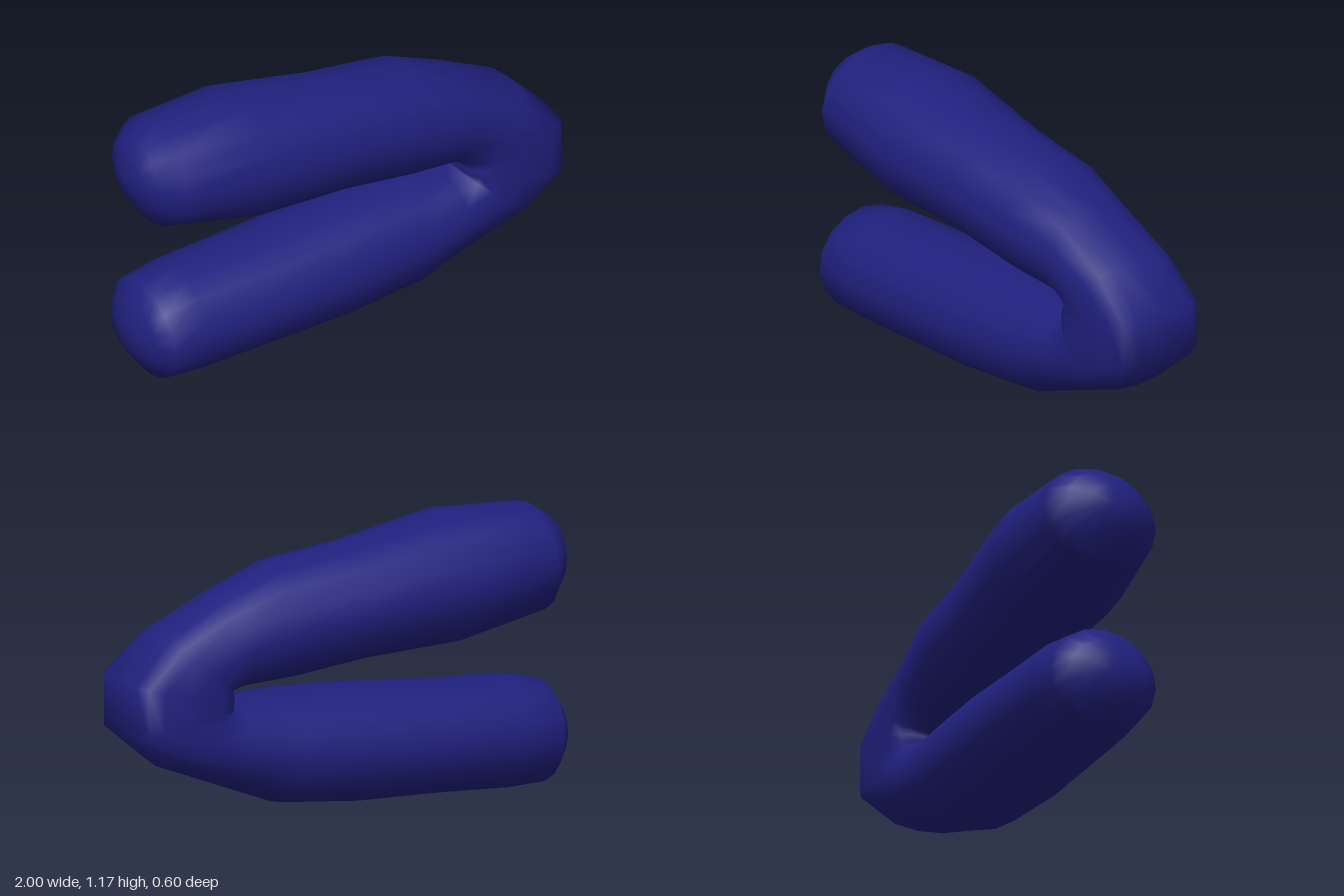
import * as THREE from 'three';
import { mergeVertices } from 'three/addons/utils/BufferGeometryUtils.js';

const SIDES = 16;

// Each cross-section: outer x, outer y, inner x, inner y, half width, roundness (1 = ellipse, less = squarer)
const upperArm = [
  [-1, 0.95, -1, 0.95, 0, 1],
  [-0.98, 1.04, -0.982, 0.88, 0.09, 1],
  [-0.94, 1.11, -0.945, 0.80, 0.175, 1],
  [-0.85, 1.165, -0.885, 0.72, 0.25, 1],
  [-0.47, 1.18, -0.49, 0.64, 0.30, 1],
  [-0.03, 1.10, -0.07, 0.62, 0.265, 1],
  [0.31, 1.06, 0.25, 0.585, 0.265, 1],
  [0.55, 0.965, 0.48, 0.575, 0.23, 0.95],
];
const bend = [
  [0.83, 0.825, 0.535, 0.565, 0.23, 0.8],
  [1, 0.655, 0.535, 0.553, 0.23, 0.55],
  [1, 0.435, 0.535, 0.535, 0.23, 0.55],
  [0.83, 0.28, 0.54, 0.523, 0.23, 0.8],
];
const lowerArm = [
  [0.55, 0.167, 0.48, 0.527, 0.23, 0.95],
  [0.31, 0.07, 0.25, 0.535, 0.25, 1],
  [-0.03, 0.035, -0.1, 0.515, 0.268, 1],
  [-0.38, 0.025, -0.45, 0.48, 0.265, 1],
  [-0.72, 0.005, -0.76, 0.465, 0.25, 1],
  [-0.885, 0.01, -0.915, 0.43, 0.235, 1],
  [-0.945, 0.085, -0.96, 0.36, 0.165, 1],
  [-0.98, 0.15, -0.985, 0.3, 0.085, 1],
  [-0.995, 0.225, -0.995, 0.225, 0, 1],
];

// Skin a closed tube over the cross-sections
function loft(rings) {
  const positions = [];
  const index = [];
  const power = (v, p) => Math.sign(v) * Math.abs(v) ** p;
  rings.forEach(([ox, oy, ix, iy, width, p], i) => {
    for (let j = 0; j < SIDES; j++) {
      const angle = (j / SIDES) * Math.PI * 2;
      const t = (1 + power(Math.cos(angle), p)) / 2;
      positions.push(
        THREE.MathUtils.lerp(ix, ox, t),
        THREE.MathUtils.lerp(iy, oy, t),
        width * power(Math.sin(angle), p),
      );
      if (i === rings.length - 1) continue;
      const k = (j + 1) % SIDES;
      const a = i * SIDES + j, b = a + SIDES;
      const c = i * SIDES + k, d = c + SIDES;
      index.push(a, c, b, c, d, b);
    }
  });
  const geometry = new THREE.BufferGeometry();
  geometry.setAttribute('position', new THREE.Float32BufferAttribute(positions, 3));
  geometry.setIndex(index);
  const merged = mergeVertices(geometry); // joins the points at both tips
  merged.computeVertexNormals();
  return merged;
}

export function createModel() {
  const group = new THREE.Group();
  group.name = 'foldedTube';
  const material = new THREE.MeshStandardMaterial({ color: 0x20207e });
  const tube = new THREE.Mesh(loft([...upperArm, ...bend, ...lowerArm]), material);
  tube.name = 'bentTube';
  group.add(tube);
  return group;
}
